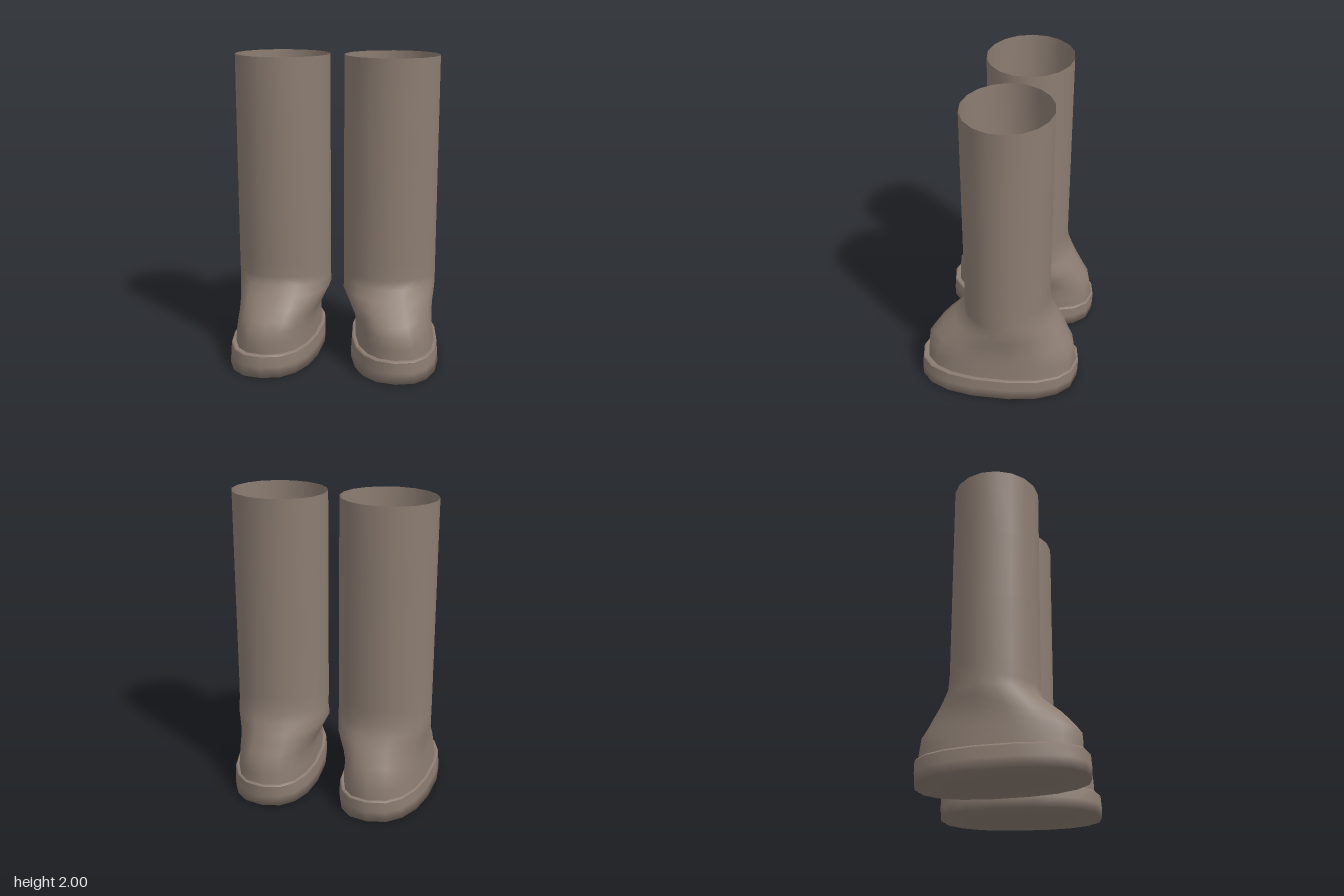
import * as THREE from 'three';

const SIDES = 18;

// Skin a stack of rounded outlines. Ring: [y, xMin, xMax, zBack, zFront, lean, power]
// lean shifts the outline sideways along z; power 2 is an ellipse, more is squarer.
function loft(rings, side) {
  const pos = [], index = [];
  const soft = (v, p) => Math.sign(v) * Math.abs(v) ** (2 / p);
  for (const [y, x0, x1, z0, z1, lean, p] of rings) {
    for (let j = 0; j < SIDES; j++) {
      const a = (j / SIDES) * Math.PI * 2;
      const z = (z0 + z1) / 2 + ((z1 - z0) / 2) * soft(Math.cos(a), p);
      const x = (x0 + x1) / 2 + ((x1 - x0) / 2) * soft(Math.sin(a), p) + lean * z;
      pos.push(x * side, y, z);
    }
  }
  for (let i = 0; i < rings.length - 1; i++) {
    for (let j = 0; j < SIDES; j++) {
      const k = (j + 1) % SIDES;
      const a = i * SIDES + j, b = i * SIDES + k, c = a + SIDES, d = b + SIDES;
      if (side > 0) index.push(a, b, d, a, d, c);
      else index.push(a, d, b, a, c, d);
    }
  }
  const geo = new THREE.BufferGeometry();
  geo.setAttribute('position', new THREE.Float32BufferAttribute(pos, 3));
  geo.setIndex(index);
  geo.computeVertexNormals();
  return geo;
}

// Closed underside, side wall, then the ledge that meets the upper
const soleRings = [
  [0, 0.39, 0.39, 0, 0, 0.08, 2.4],
  [0, 0.25, 0.53, -0.26, 0.26, 0.08, 2.4],
  [0, 0.10, 0.685, -0.525, 0.525, 0.07, 2.4],
  [0.07, 0.10, 0.68, -0.53, 0.525, 0.07, 2.4],
  [0.14, 0.105, 0.675, -0.53, 0.52, 0.07, 2.4],
];
const ledgeRings = [
  [0.14, 0.105, 0.675, -0.53, 0.52, 0.07, 2.4],
  [0.152, 0.115, 0.665, -0.52, 0.51, 0.07, 2.4],
  [0.142, 0.13, 0.65, -0.51, 0.48, 0.07, 2.4],
];

// Rounded toe and heel gathering into the straight shaft
const footRings = [
  [0.14, 0.13, 0.65, -0.51, 0.48, 0.07, 2.4],
  [0.21, 0.13, 0.645, -0.505, 0.48, 0.07, 2.35],
  [0.28, 0.13, 0.64, -0.495, 0.475, 0.06, 2.3],
  [0.34, 0.105, 0.64, -0.46, 0.435, 0.05, 2.2],
  [0.40, 0.075, 0.645, -0.43, 0.38, 0.04, 2.1],
  [0.46, 0.045, 0.655, -0.395, 0.31, 0.02, 2],
  [0.52, 0.045, 0.66, -0.36, 0.24, 0, 2],
  [0.58, 0.045, 0.66, -0.335, 0.23, 0, 2],
  [0.68, 0.045, 0.66, -0.328, 0.23, 0, 2],
];
const shaftRings = [0.68, 1.1, 1.55, 2].map((y) => [y, 0.045, 0.66, -0.328, 0.23, 0, 2]);

export function createModel() {
  const leather = new THREE.MeshStandardMaterial({ color: 0x8c7d72, side: THREE.DoubleSide });
  const model = new THREE.Group();
  model.name = 'boots';
  for (const side of [1, -1]) {
    const boot = new THREE.Group();
    boot.name = side > 0 ? 'leftBoot' : 'rightBoot';
    const add = (name, rings) => {
      const mesh = new THREE.Mesh(loft(rings, side), leather);
      mesh.name = name;
      boot.add(mesh);
    };
    add('sole', soleRings);
    add('soleLedge', ledgeRings);
    // foot and shaft share one smooth open skin
    add('upper', [...footRings, ...shaftRings.slice(1)]);
    model.add(boot);
  }
  return model;
}
